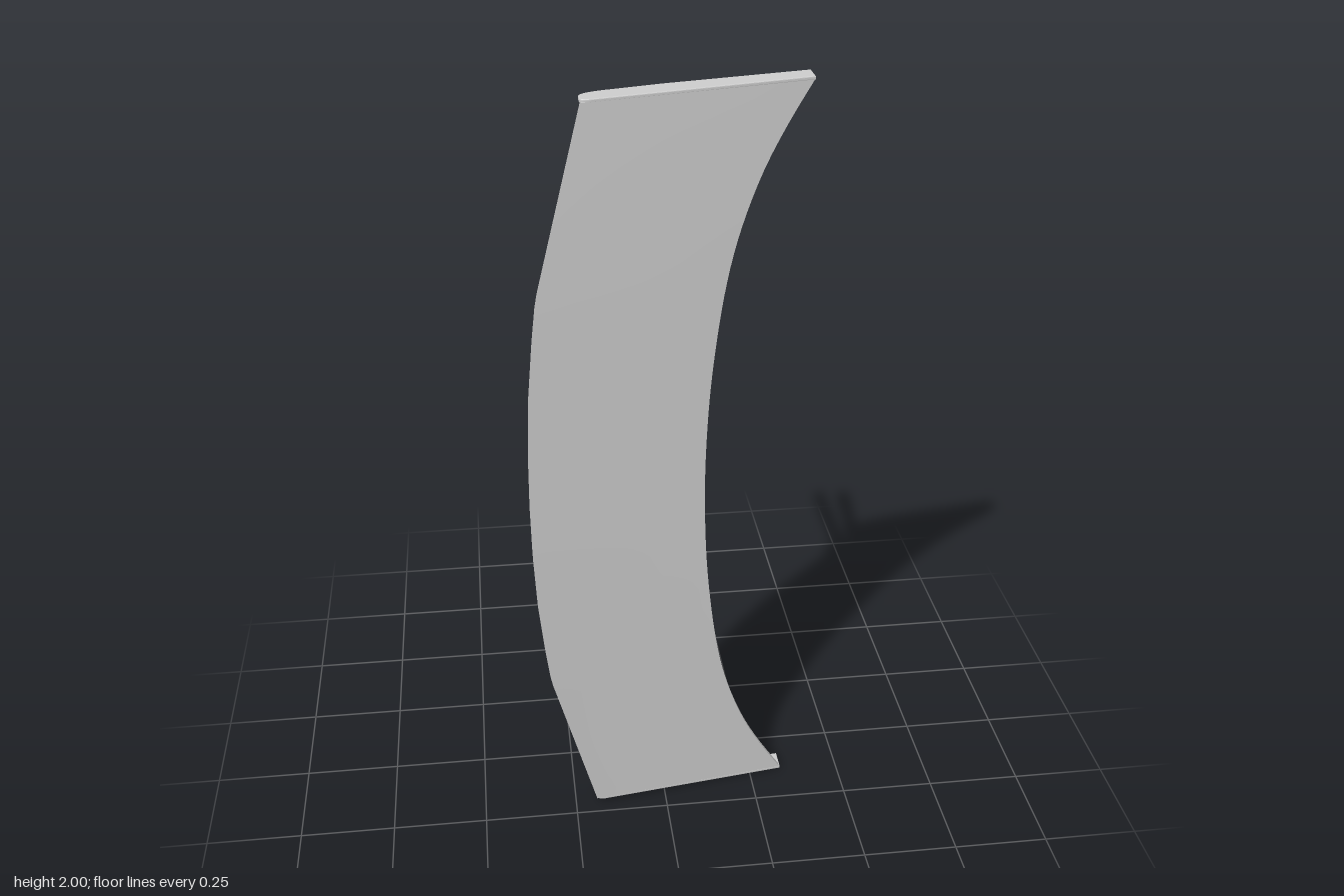
import * as THREE from 'three';

const mat = new THREE.MeshStandardMaterial({ color: 0xcccccc });

function part(name, geometry, parent) {
  const m = new THREE.Mesh(geometry, mat);
  m.name = name;
  parent.add(m);
  return m;
}

// Move every vertex by a rule, then renew the normals
function reshape(geometry, rule) {
  const p = geometry.attributes.position;
  const v = new THREE.Vector3();
  for (let i = 0; i < p.count; i++) {
    rule(v.fromBufferAttribute(p, i));
    p.setXYZ(i, v.x, v.y, v.z);
  }
  geometry.computeVertexNormals();
  return geometry;
}

// Linear lookup in a short list of [key, value] pairs
function lookup(table, t) {
  let i = 1;
  while (i < table.length - 1 && t > table[i][0]) i++;
  const [a, va] = table[i - 1], [b, vb] = table[i];
  return va + (vb - va) * Math.min(1, Math.max(0, (t - a) / (b - a)));
}

// Lathe with profile [radius, distance], laid along the line from a to b
function turned(name, profile, a, b, parent) {
  const g = new THREE.LatheGeometry(profile.map(([r, d]) => new THREE.Vector2(r, d)), 24);
  const m = part(name, g, parent);
  m.position.copy(a);
  m.quaternion.setFromUnitVectors(new THREE.Vector3(0, 1, 0), b.clone().sub(a).normalize());
  return m;
}

// Outline of the blade by distance from mid height
const leading = [[0, -0.341], [0.15, -0.339], [0.3, -0.332], [0.45, -0.318], [0.55, -0.306], [1, -0.192]];
const trailing = new THREE.SplineCurve([[-0.2, 0.105], [0, 0.1], [0.2, 0.106], [0.37, 0.121],
  [0.53, 0.144], [0.66, 0.175], [0.79, 0.222], [0.9, 0.278], [1, 0.339]].map(([a, x]) => new THREE.Vector2(a, x)))
  .getPoints(60).map(p => [p.x, p.y]);

function blade() {
  return reshape(new THREE.BoxGeometry(1, 1, 1, 12, 60, 1), v => {
    const u = v.x + 0.5, a = Math.abs(v.y) * 2;
    const xl = lookup(leading, a), xr = lookup(trailing, a);
    const zl = 0.257 - 0.25 * (xl + 0.341), zr = 0.181 - 0.19 * (xr - 0.1);
    const thick = 0.003 + 0.009 * Math.min(1, u * 5);
    v.x = xl + (xr - xl) * u;
    v.y = 1 + v.y * 2 * (0.981 + 0.014 * u);
    v.z = zl + (zr - zl) * u - (0.5 - v.z) * thick;
  });
}

// Flange that runs back from each end of the blade
function flange(side) {
  const s = new THREE.Shape();
  s.moveTo(0.339, 0.136);
  s.lineTo(-0.168, 0.216);
  s.quadraticCurveTo(-0.193, 0.219, -0.193, 0.203);
  s.lineTo(-0.193, 0.183);
  s.quadraticCurveTo(-0.192, 0.165, -0.14, 0.152);
  s.lineTo(0, 0.126);
  s.lineTo(0.339, 0.081);
  const g = new THREE.ExtrudeGeometry(s, {
    depth: 0.004, bevelThickness: 0.003, bevelSize: 0.003, bevelOffset: -0.003, bevelSegments: 3, curveSegments: 10,
  });
  g.translate(0, 0, -0.002).rotateX(Math.PI / 2).scale(1, 1, 1);
  return reshape(g, v => {
    const k = (v.x + 0.19) / 0.53;
    v.y += 1 + side * (0.983 + 0.012 * k);
  });
}

// Mounting pad: rings of [z, min x, max x, half height]
const rings = [[0.099, -0.165, -0.07, 0.02], [0.104, -0.17, -0.06, 0.027], [0.12, -0.168, -0.02, 0.044],
  [0.135, -0.167, 0.015, 0.056], [0.15, -0.175, 0.035, 0.061], [0.168, -0.185, 0.043, 0.062],
  [0.196, -0.188, 0.045, 0.06]];

function pad() {
  const n = rings.length - 1;
  return reshape(new THREE.CylinderGeometry(1, 1, 1, 40, n), v => {
    const i = Math.round((v.y + 0.5) * n);
    const [z, x0, x1, ry] = rings[i];
    const px = v.x, pz = v.z;
    v.x = (x0 + x1) / 2 + px * (x1 - x0) / 2;
    v.y = -pz * ry;
    v.z = z - 0.165 * (v.x + 0.07) * i / n;
  });
}

function mount(side) {
  const g = new THREE.Group();
  g.name = side > 0 ? 'upperMount' : 'lowerMount';
  g.position.y = 1 + side * 0.667;
  part('mountingPad', pad(), g);

  const at = (x, y, z) => new THREE.Vector3(x, y * side, z);

  // Main rod with its neck and two collars
  turned('mainRod', [[0, 0], [0.015, 0], [0.014, 0.03], [0.021, 0.032], [0.024, 0.037], [0.024, 0.046],
    [0.021, 0.052], [0.019, 0.056], [0.019, 0.22], [0.023, 0.222], [0.024, 0.228], [0.023, 0.235],
    [0.0175, 0.237], [0.0175, 0.36], [0, 0.36]], at(-0.117, 0.005, 0.1), at(-0.111, -0.006, -0.26), g);

  // Second rod, flaring into its pivot
  turned('sideRod', [[0, 0], [0.024, 0], [0.025, 0.015], [0.022, 0.035], [0.019, 0.055], [0.019, 0.12],
    [0.021, 0.256], [0, 0.256]], at(-0.049, 0.004, 0.005), at(-0.021, -0.006, -0.25), g);

  // Pivot with a dimple above and below
  const half = [[0, 0.006], [0.008, 0.009], [0.013, 0.018], [0.018, 0.02], [0.024, 0.015], [0.028, 0.006]];
  const pivot = [...half.map(([r, y]) => [r, -y]), ...half.slice().reverse()];
  turned('pivot', pivot, at(-0.049, 0.003, 0.006), at(-0.049, 0.003, 0.006).add(new THREE.Vector3(0, 1, 0)), g);

  // Link between the rods
  turned('link', [[0, 0], [0.009, 0], [0.007, 0.02], [0.007, 0.075], [0, 0.075]],
    at(-0.108, 0.003, 0.065), at(-0.046, 0.003, 0.022), g);
  return g;
}

export function createModel() {
  const model = new THREE.Group();
  model.name = 'curvedBlade';
  part('blade', blade(), model);
  for (const side of [1, -1]) {
    part(side > 0 ? 'topFlange' : 'bottomFlange', flange(side), model);
    model.add(mount(side));
  }
  return model;
}
